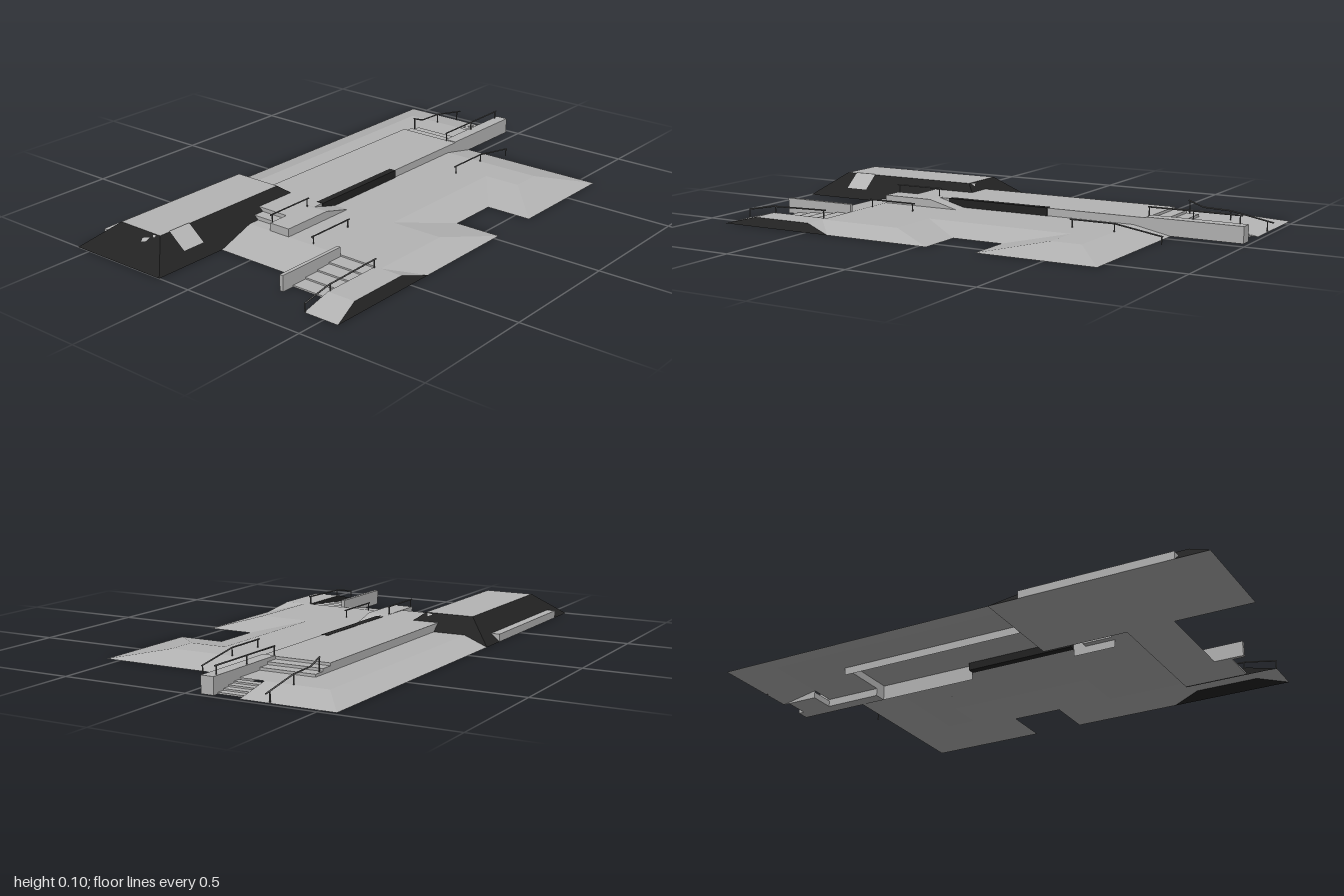
import * as THREE from 'three';

const mat = (name, color, side = THREE.FrontSide) => {
  const m = new THREE.MeshStandardMaterial({ color, side });
  m.name = name;
  return m;
};

export function createModel() {
  const root = new THREE.Group();
  root.name = 'plaza';
  const concrete = mat('concrete', 0xb4b4b4, THREE.DoubleSide);
  const black = mat('blackPaint', 0x222222, THREE.DoubleSide);
  const steel = mat('railSteel', 0x555555);
  const LOW = 0.03, HIGH = 0.06, TOP = 0.09;

  const add = (name, geo, material, parent = root) => {
    const m = new THREE.Mesh(geo, material);
    m.name = name;
    parent.add(m);
    return m;
  };

  // flat polygons, each a short list of corners, turned to face upward
  const faces = (name, material, polys) => {
    const pos = [];
    for (const poly of polys) {
      const v = poly.map((p) => new THREE.Vector3(...p));
      const n = new THREE.Vector3().crossVectors(v[1].clone().sub(v[0]), v[2].clone().sub(v[0]));
      if (n.y < 0) v.reverse();
      for (let i = 1; i < v.length - 1; i++) {
        for (const q of [v[0], v[i], v[i + 1]]) pos.push(q.x, q.y, q.z);
      }
    }
    const g = new THREE.BufferGeometry();
    g.setAttribute('position', new THREE.Float32BufferAttribute(pos, 3));
    g.computeVertexNormals();
    return add(name, g, material);
  };

  const floor = (x0, x1, z0, z1, y) => [[x0, y, z0], [x0, y, z1], [x1, y, z1], [x1, y, z0]];
  const wallX = (x, z0, z1, y0, y1) => [[x, y0, z0], [x, y1, z0], [x, y1, z1], [x, y0, z1]];
  const wallZ = (z, x0, x1, y0, y1) => [[x0, y0, z], [x1, y0, z], [x1, y1, z], [x0, y1, z]];

  const box = (name, material, x0, x1, y0, y1, z0, z1) => {
    const m = add(name, new THREE.BoxGeometry(x1 - x0, y1 - y0, z1 - z0), material);
    m.position.set((x0 + x1) / 2, (y0 + y1) / 2, (z0 + z1) / 2);
    return m;
  };

  // steps descending from zTop to zEnd between two heights
  const stairs = (name, x0, x1, zTop, zEnd, yTop, yEnd, count) => {
    for (let i = 0; i < count; i++) {
      const za = zTop + ((zEnd - zTop) * i) / count;
      const zb = zTop + ((zEnd - zTop) * (i + 1)) / count;
      const y = yTop - ((yTop - yEnd) * (i + 1)) / (count + 1);
      box(name, concrete, x0, x1, yEnd, y, Math.min(za, zb), Math.max(za, zb));
    }
  };

  const bar = (a, b, r, parent) => {
    const p = new THREE.Vector3(...a), q = new THREE.Vector3(...b);
    const d = q.clone().sub(p);
    const m = add('bar', new THREE.CylinderGeometry(r, r, d.length(), 6), steel, parent);
    m.position.copy(p).add(q).multiplyScalar(0.5);
    m.quaternion.setFromUnitVectors(new THREE.Vector3(0, 1, 0), d.normalize());
  };

  // path: [z, y] points of the handrail; posts: [z, yTop, yBottom]
  const rail = (name, x, path, posts) => {
    const g = new THREE.Group();
    g.name = name;
    root.add(g);
    for (let i = 0; i < path.length - 1; i++) {
      bar([x, path[i][1], path[i][0]], [x, path[i + 1][1], path[i + 1][0]], 0.003, g);
    }
    for (const [z, t, b] of posts) bar([x, b, z], [x, t, z], 0.0025, g);
  };

  // lower plaza with its sloped banks
  faces('plazaFloor', concrete, [
    floor(-0.05, 0.225, -0.55, 0.51, LOW),
    floor(0.225, 0.375, -0.55, -0.43, LOW),
    floor(0.225, 0.44, 0.17, 0.51, LOW),
    floor(-0.2, -0.05, 0.42, 0.51, LOW),
  ]);
  faces('plazaBanks', concrete, [
    [[-0.05, LOW, -0.55], [0.375, LOW, -0.55], [0.56, 0, -0.7], [-0.05, 0, -0.7]],
    [[0.375, LOW, -0.55], [0.375, LOW, -0.43], [0.56, 0, -0.23], [0.56, 0, -0.7]],
    [[0.225, LOW, -0.43], [0.375, 0, -0.23], [0.56, 0, -0.23], [0.375, LOW, -0.43]],
    [[0.225, LOW, -0.43], [0.225, LOW, 0.17], [0.375, 0, -0.03], [0.375, 0, -0.23]],
    [[0.225, LOW, 0.17], [0.44, LOW, 0.17], [0.56, 0, -0.03], [0.375, 0, -0.03]],
    [[0.44, LOW, 0.17], [0.44, LOW, 0.51], [0.56, 0, 0.4], [0.56, 0, -0.03]],
    [[0.44, LOW, 0.51], [0.53, LOW, 0.51], [0.56, 0, 0.4]],
  ]);
  faces('frontBank', concrete, [
    [[-0.18, LOW, 0.51], [0.25, LOW, 0.51], [0.25, 0, 0.695], [-0.14, 0, 0.695]],
    [[-0.18, 0, 0.51], [0.25, 0, 0.51], [0.25, 0, 0.695], [-0.14, 0, 0.695]],
    wallZ(0.51, -0.18, 0.41, 0, LOW),
  ]);

  // front stairs, cheek wall and corner ledge
  stairs('frontStep', 0.26, 0.41, 0.51, 0.76, LOW, 0, 4);
  box('stairCheekWall', concrete, 0.245, 0.26, 0, HIGH, 0.51, 0.81);
  faces('cornerLedge', concrete, [
    floor(0.415, 0.53, 0.51, 0.76, LOW),
    [[0.415, LOW, 0.76], [0.53, LOW, 0.76], [0.56, 0, 0.88], [0.415, 0, 0.88]],
  ]);
  faces('cornerLedgeSides', black, [
    [[0.53, LOW, 0.51], [0.53, LOW, 0.76], [0.56, 0, 0.88], [0.56, 0, 0.4]],
    [[0.415, 0, 0.51], [0.415, LOW, 0.51], [0.415, LOW, 0.76], [0.415, 0, 0.88]],
  ]);

  // left terrace with outer banks
  faces('leftTerrace', concrete, [
    floor(-0.45, -0.32, -0.83, 0.21, LOW),
    floor(-0.32, -0.1, -0.83, -0.6, LOW),
    [[-0.56, 0, -0.98], [-0.45, LOW, -0.83], [-0.45, LOW, 0.21], [-0.56, 0, 0.17]],
    [[-0.56, 0, -0.98], [-0.2, 0, -0.98], [-0.2, LOW, -0.83], [-0.45, LOW, -0.83]],
    [[-0.2, 0, -0.98], [-0.2, LOW, -0.83], [-0.2, 0, -0.83]],
  ]);

  // upper terrace and its walls
  faces('upperTerrace', concrete, [
    floor(-0.32, -0.05, -0.6, 0.25, HIGH),
    floor(-0.22, -0.05, 0.25, 0.42, HIGH),
    wallX(-0.32, -0.6, 0.25, 0, HIGH),
    wallX(-0.05, -0.6, -0.19, 0, HIGH),
    wallX(-0.05, 0.25, 0.42, 0, HIGH),
    wallZ(-0.6, -0.32, -0.1, LOW, HIGH),
    wallZ(0.42, -0.22, -0.05, LOW, HIGH),
  ]);
  box('blackLedge', black, -0.075, -0.046, 0.03, 0.061, -0.19, 0.25);
  stairs('upperBackStep', -0.32, -0.1, -0.6, -0.7, HIGH, LOW, 2);
  stairs('lowerBackStep', -0.2, -0.1, -0.83, -0.955, LOW, 0, 4);
  box('backCheekBlock', concrete, -0.1, -0.05, 0, 0.063, -0.98, -0.6);

  // side steps and ledge with a ramped end
  box('sideStep', concrete, -0.2, -0.075, LOW, 0.045, 0.42, 0.465);
  box('sideLedge', concrete, -0.075, 0.015, LOW, 0.061, 0.3, 0.51);
  faces('ledgeRamp', concrete, [
    [[-0.075, 0.061, 0.3], [0.015, 0.061, 0.3], [0.015, LOW, 0.18], [-0.046, LOW, 0.18]],
    [[0.015, 0.061, 0.3], [0.015, LOW, 0.3], [0.015, LOW, 0.18]],
  ]);

  // black mound with a pale deck
  const ring = (x0, x1, z0, z1, y) => [[x0, y, z0], [x1, y, z0], [x1, y, z1], [x0, y, z1]];
  const base = ring(-0.56, -0.14, 0.17, 1, 0);
  const crest = ring(-0.45, -0.25, 0.28, 0.885, TOP);
  faces('moundSlopes', black, base.map((p, i) => {
    const j = (i + 1) % 4;
    return [p, base[j], crest[j], crest[i]];
  }));
  faces('moundDeck', concrete, [crest]);
  faces('moundBase', concrete, [base]);
  box('moundSideLedge', concrete, -0.56, -0.525, 0, LOW, 0.29, 0.875);

  // pale patches lying on the mound slopes
  faces('slopePatches', concrete, [
    [[-0.25, 0.093, 0.745], [-0.25, 0.093, 0.84], [-0.18, 0.036, 0.84], [-0.18, 0.036, 0.745]],
    [[-0.315, 0.073, 0.91], [-0.285, 0.08, 0.902], [-0.29, 0.069, 0.915], [-0.31, 0.063, 0.922]],
    [[-0.28, 0.087, 0.892], [-0.265, 0.089, 0.889], [-0.27, 0.081, 0.899]],
    [[-0.285, 0.085, 0.271], [-0.26, 0.088, 0.275], [-0.265, 0.078, 0.262]],
  ]);

  // handrails
  rail('frontStairRail', 0.418, [[0.51, 0.061], [0.76, 0.055], [0.88, 0.033]],
    [[0.52, 0.061, LOW], [0.75, 0.055, LOW], [0.878, 0.033, 0]]);
  rail('plazaRail', 0.125, [[0.3, HIGH], [0.51, HIGH]], [[0.31, HIGH, LOW], [0.5, HIGH, LOW]]);
  rail('ledgeRail', -0.072, [[0.3, 0.092], [0.51, 0.092]], [[0.31, 0.092, HIGH], [0.5, 0.092, HIGH]]);
  rail('backBankRail', 0.113, [[-0.37, HIGH], [-0.55, HIGH], [-0.74, 0.03]],
    [[-0.38, HIGH, LOW], [-0.55, HIGH, LOW], [-0.735, 0.03, 0]]);
  rail('backBlockRail', -0.092, [[-0.59, 0.094], [-0.96, 0.094]],
    [-0.595, -0.77, -0.95].map((z) => [z, 0.094, 0.06]));
  rail('backStairRail', -0.313, [[-0.66, 0.092], [-0.72, 0.07], [-0.83, 0.066], [-1, 0.035]],
    [[-0.665, 0.09, LOW], [-0.83, 0.066, LOW], [-0.975, 0.04, 0]]);

  return root;
}
